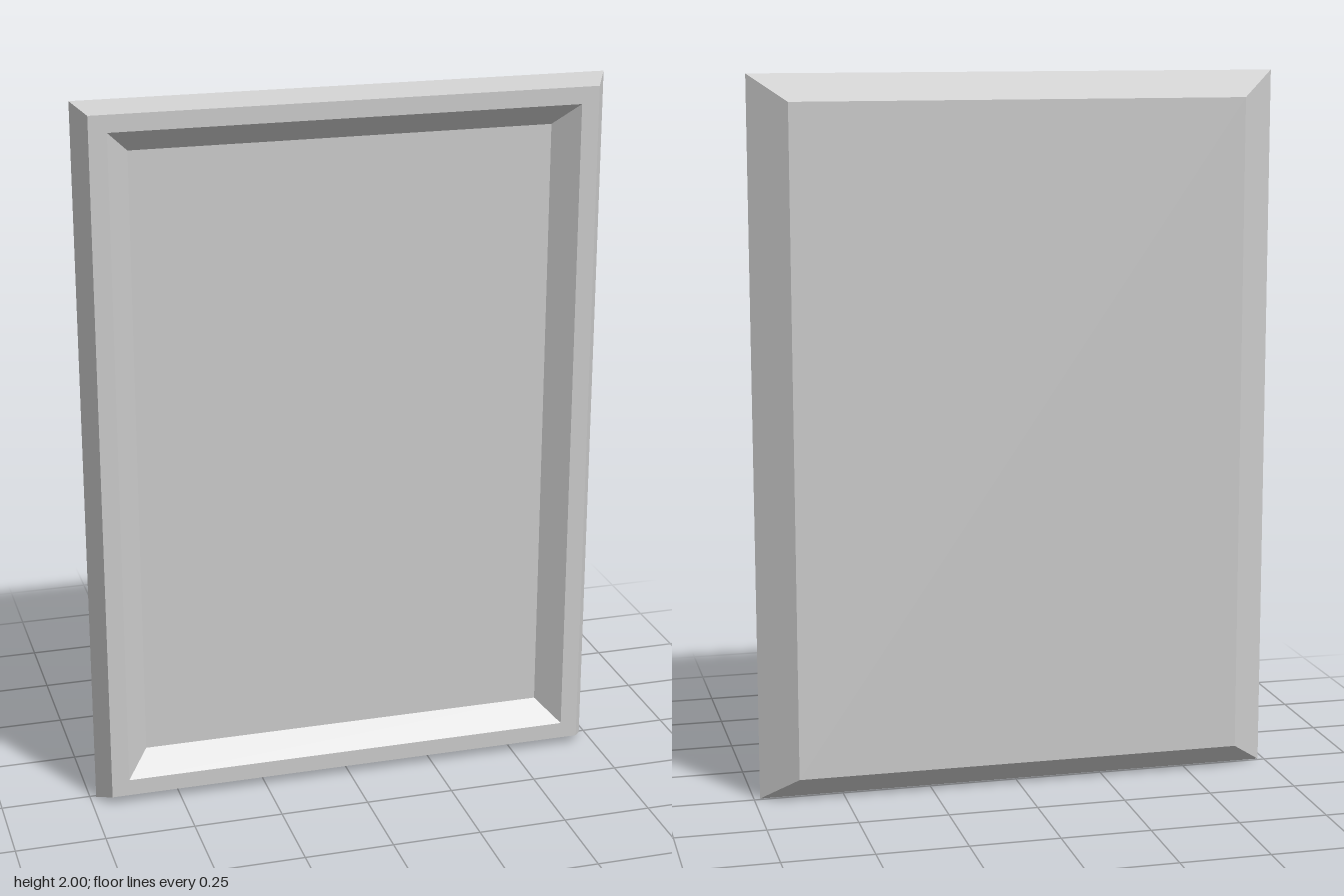
import * as THREE from 'three';

const material = new THREE.MeshStandardMaterial({ color: 0xcccccc, flatShading: true });

// Corners of a rectangle, counter-clockwise seen from the front
const ring = ([halfX, halfY, z]) => [
  [-halfX, 1 - halfY, z], [halfX, 1 - halfY, z],
  [halfX, 1 + halfY, z], [-halfX, 1 + halfY, z],
];

function addQuad(out, a, b, c, d) {
  out.push(...a, ...b, ...c, ...a, ...c, ...d);
}

function makeMesh(name, positions) {
  const geometry = new THREE.BufferGeometry();
  geometry.setAttribute('position', new THREE.Float32BufferAttribute(positions, 3));
  geometry.computeVertexNormals();
  const mesh = new THREE.Mesh(geometry, material);
  mesh.name = name;
  return mesh;
}

// Mitred band joining two rectangles, from back/outer to front/inner
function band(name, from, to) {
  const a = ring(from), b = ring(to), positions = [];
  for (let i = 0; i < 4; i++) {
    const j = (i + 1) % 4;
    addQuad(positions, a[i], a[j], b[j], b[i]);
  }
  return makeMesh(name, positions);
}

function panel(name, rect, facesBack) {
  const corners = ring(rect), positions = [];
  if (facesBack) corners.reverse();
  addQuad(positions, ...corners);
  return makeMesh(name, positions);
}

export function createModel() {
  const group = new THREE.Group();
  group.name = 'framedPanel';

  // Cross-section of the frame: half width, half height, depth
  const back = [0.633, 0.928, -0.073];
  const rim = [0.733, 1.0, 0.008];
  const frontOuter = [0.697, 0.973, 0.073];
  const frontInner = [0.648, 0.926, 0.073];
  const recess = [0.585, 0.863, 0.012];

  group.add(
    panel('backPanel', back, true),
    band('backBevel', back, rim),
    band('outerBevel', rim, frontOuter),
    band('frameFace', frontOuter, frontInner),
    band('innerBevel', frontInner, recess),
    panel('recessedPanel', recess, false),
  );
  return group;
}
